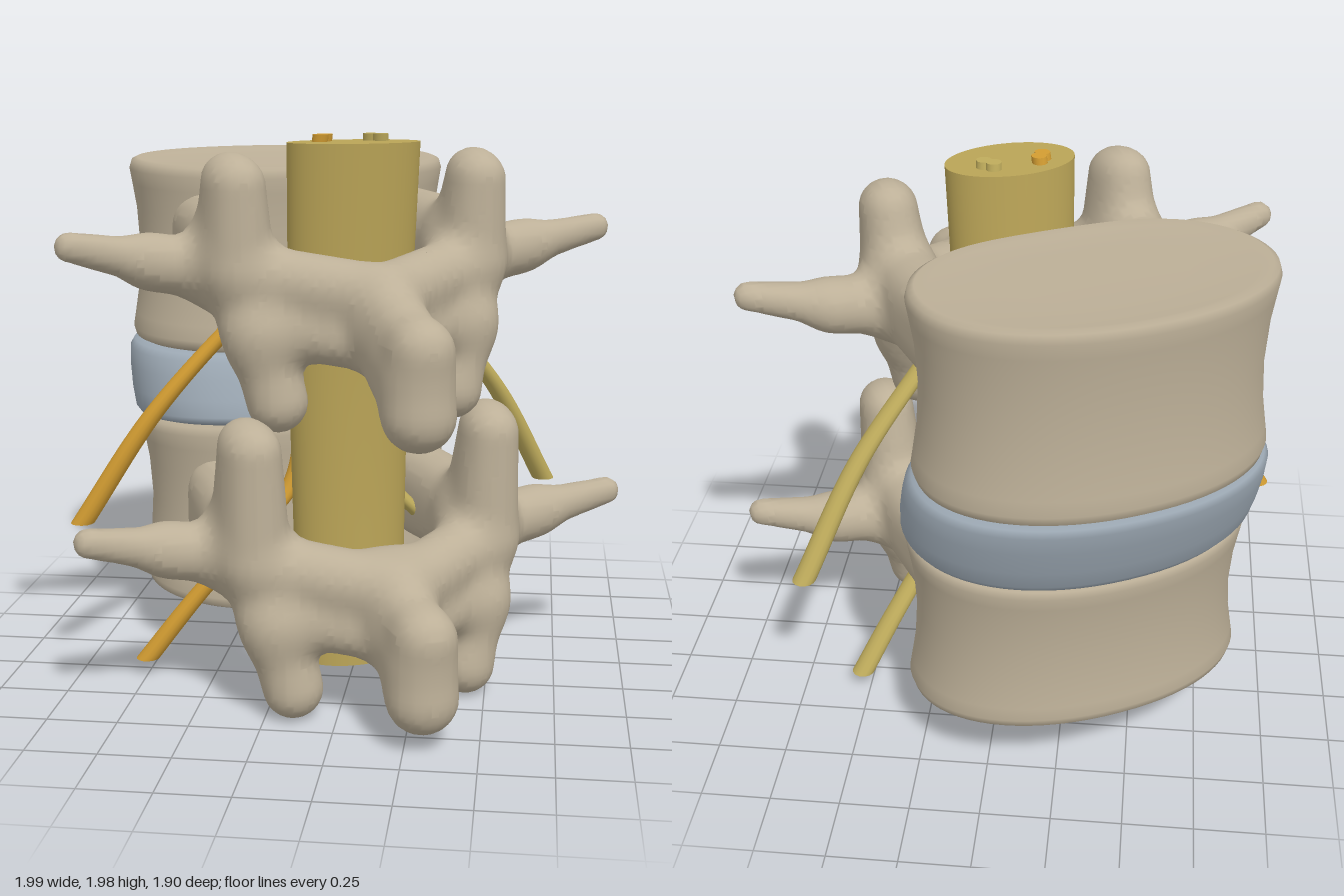
import * as THREE from 'three';

const mat = (name, color) => {
  const m = new THREE.MeshStandardMaterial({ color });
  m.name = name;
  return m;
};
const lerp = THREE.MathUtils.lerp;

function mesh(name, geometry, material) {
  const m = new THREE.Mesh(geometry, material);
  m.name = name;
  return m;
}

function indexed(pos, idx) {
  const g = new THREE.BufferGeometry();
  g.setAttribute('position', new THREE.Float32BufferAttribute(pos, 3));
  g.setIndex(idx);
  g.computeVertexNormals();
  return g;
}

// Skin closed rings, listed from bottom to top; point(ring, angle) gives [x, y, z]
function loft(rings, sides, point) {
  const pos = [], idx = [];
  rings.forEach((r, j) => {
    for (let i = 0; i < sides; i++) {
      pos.push(...point(r, (i / sides) * Math.PI * 2));
      if (j === 0) continue;
      const k = (i + 1) % sides, lo = (j - 1) * sides, hi = j * sides;
      idx.push(lo + i, hi + i, lo + k, lo + k, hi + i, hi + k);
    }
  });
  return indexed(pos, idx);
}

// Capped column of level ellipses [x, y, z, half width, half depth]; doubled end rings keep rims sharp
function column(rings, sides) {
  const first = rings[0], last = rings[rings.length - 1];
  const point = ([x, y, z, a, b], t) => [x + a * Math.cos(t), y, z + b * Math.sin(t)];
  const cap = ([x, y, z]) => [x, y, z, 0, 0];
  return loft([cap(first), first, ...rings, last, cap(last)], sides, point);
}

// Kidney-shaped slab; each end is { back, front, z }: heights at its two edges, and its centre
function slab(rings, bottom, top) {
  const height = (e, s) => lerp(e.front, e.back, (s + 1) / 2);
  const round = (v) => Math.sign(v) * Math.abs(v) ** 0.94;
  return loft(rings, 72, ([scale, f], t) => {
    const s = round(Math.sin(t)) * scale;
    const dent = 0.045 * Math.max(0, Math.sin(t)) ** 6 * scale;
    return [
      0.62 * scale * round(Math.cos(t)),
      lerp(height(bottom, s), height(top, s), f),
      lerp(bottom.z, top.z, f) + 0.44 * s - dent,
    ];
  });
}

// Waisted vertebral body and bulging disc: [scale, height fraction]
const bodyRings = [
  [0, 0.02], [0.5, 0.02], [0.88, 0.015], [0.95, 0], [0.985, 0.015], [1, 0.06], [0.985, 0.14],
  [0.96, 0.28], [0.945, 0.5], [0.96, 0.72], [0.985, 0.86], [1, 0.94], [0.985, 0.985],
  [0.95, 1], [0.88, 0.985], [0.5, 0.98], [0, 0.98],
];
const discRings = [
  [0, 0], [0.8, 0], [0.95, 0], [1, 0.03], [1.03, 0.12], [1.04, 0.35], [1.04, 0.65],
  [1.03, 0.88], [1, 0.97], [0.95, 1], [0.8, 1], [0, 1],
];

// Neural arch of one vertebra as tapered limbs [from, radius, to, radius]; x is mirrored
function archLimbs(lift, pull, raise) {
  const rear = (y, z) => [0, y + raise, z - pull];
  return [
    [[0.4, 1.65, -0.32], 0.12, [0.44, 1.63, 0.12], 0.12],             // pedicle
    [[0.4, 1.52, -0.32], 0.12, [0.44, 1.53, 0.12], 0.12],
    [[0.44, 1.6, 0.14], 0.12, [0.45, 1.85 + lift, 0.2], 0.09],        // upper joint horn
    [[0.43, 1.56, 0.26], 0.12, [0.44, 1.83 + lift, 0.28], 0.095],
    [[0.43, 1.56, 0.18], 0.13, [0.37, 1.32, 0.3], 0.12],              // pillar
    [[0.37, 1.32, 0.3], 0.11, [0.325, 1.1, 0.335], 0.105],            // lower joint horn
    [[0.48, 1.53, 0.11], 0.125, [0.7, 1.57, 0.1], 0.085],             // side wing
    [[0.7, 1.57, 0.1], 0.08, [0.985, 1.635, 0.14], 0.05],
    [[0.38, 1.52, 0.26], 0.115, [0, 1.46, 0.49], 0.115],              // lamina
    [[0.36, 1.36, 0.3], 0.1, [0, 1.31, 0.49], 0.1],
    [rear(1.44, 0.5), 0.11, rear(1.34, 0.84), 0.09],                  // rear spine blade
    [rear(1.3, 0.55), 0.11, rear(1.13, 0.82), 0.105],
    [rear(1.34, 0.84), 0.09, rear(1.13, 0.82), 0.105],
    [rear(1.38, 0.55), 0.1, rear(1.24, 0.8), 0.1],
  ];
}

// Signed distance to the smoothly blended limbs
function blendedField(limbs) {
  const k = 0.07;
  return (x, y, z) => {
    let d = 1e3;
    const ax = Math.abs(x);
    for (const [a, ra, b, rb] of limbs) {
      const vx = b[0] - a[0], vy = b[1] - a[1], vz = b[2] - a[2];
      const px = ax - a[0], py = y - a[1], pz = z - a[2];
      const h = (px * vx + py * vy + pz * vz) / (vx * vx + vy * vy + vz * vz);
      const t = Math.min(1, Math.max(0, h));
      const e = Math.hypot(px - vx * t, py - vy * t, pz - vz * t) - lerp(ra, rb, t);
      const q = Math.max(k - Math.abs(d - e), 0);
      d = Math.min(d, e) - (q * q) / (4 * k);
    }
    return d;
  };
}

// One smooth skin around a field: a vertex per crossed cell, a quad per crossed edge
function skin(field, min, max, step) {
  const n = min.map((m, i) => Math.ceil((max[i] - m) / step) + 1);
  const stride = [1, n[0], n[0] * n[1]];
  const value = new Float32Array(n[0] * n[1] * n[2]);
  const at = (i, j, k) => i + j * stride[1] + k * stride[2];
  for (let k = 0; k < n[2]; k++) for (let j = 0; j < n[1]; j++) for (let i = 0; i < n[0]; i++) {
    value[at(i, j, k)] = field(min[0] + i * step, min[1] + j * step, min[2] + k * step);
  }
  const pos = [], idx = [], cell = new Map();
  const e = 0.002;
  const vertex = (id) => {
    if (cell.has(id)) return cell.get(id);
    const c = [id % n[0], Math.floor(id / n[0]) % n[1], Math.floor(id / stride[2])];
    let [x, y, z] = c.map((v, a) => min[a] + (v + 0.5) * step);
    for (let s = 0; s < 3; s++) {
      const d = field(x, y, z);
      const gx = (field(x + e, y, z) - field(x - e, y, z)) / (2 * e);
      const gy = (field(x, y + e, z) - field(x, y - e, z)) / (2 * e);
      const gz = (field(x, y, z + e) - field(x, y, z - e)) / (2 * e);
      const f = d / Math.max(0.3, gx * gx + gy * gy + gz * gz);
      x -= gx * f; y -= gy * f; z -= gz * f;
    }
    pos.push(x, y, z);
    cell.set(id, pos.length / 3 - 1);
    return pos.length / 3 - 1;
  };
  for (let k = 1; k < n[2] - 1; k++) for (let j = 1; j < n[1] - 1; j++) for (let i = 1; i < n[0] - 1; i++) {
    const id = at(i, j, k), inside = value[id] < 0;
    for (let a = 0; a < 3; a++) {
      if (inside === value[id + stride[a]] < 0) continue;
      const b = stride[(a + 1) % 3], c = stride[(a + 2) % 3];
      const [p, q, r, s] = [id - b - c, id - c, id, id - b].map(vertex);
      if (inside) idx.push(p, q, r, p, r, s);
      else idx.push(p, r, q, p, s, r);
    }
  }
  return indexed(pos, idx);
}

// Nerve from its level-cut outer end up to its thin root
function nerve(points, side) {
  const curve = new THREE.CatmullRomCurve3(points.map(([x, y, z]) => new THREE.Vector3(side * x, y, z)));
  const rings = curve.getPoints(60).map((p, i) => {
    const r = lerp(0.043, 0.028, i / 60);
    return [p.x, p.y, p.z, r, r];
  });
  return column(rings, 14);
}

export function createModel() {
  const bone = mat('bone', 0xbdb098);
  const discGrey = mat('disc grey', 0x9ca8b3);
  const paleGrey = mat('disc core', 0xc3ced6);
  const cordYellow = mat('cord yellow', 0xbaa457);
  const orange = mat('nerve orange', 0xd39d32);
  const yellow = mat('nerve yellow', 0xbfac5c);

  const spine = new THREE.Group();
  spine.name = 'spine';
  spine.rotation.y = 0.4625;
  spine.position.set(-0.08, 0, 0.04);

  // Vertebral bodies and the disc between them
  const upperTop = { back: 1.86, front: 1.9, z: -0.56 };
  const upperBottom = { back: 1.17, front: 1.205, z: -0.56 };
  const lowerTop = { back: 0.92, front: 0.885, z: -0.46 };
  const lowerBottom = { back: 0.19, front: 0.29, z: -0.45 };
  spine.add(mesh('upperBody', slab(bodyRings, upperBottom, upperTop), bone));
  spine.add(mesh('lowerBody', slab(bodyRings, lowerBottom, lowerTop), bone));
  spine.add(mesh('disc', slab(discRings, lowerTop, upperBottom), discGrey));
  const core = mesh('discBulge', new THREE.SphereGeometry(1, 20, 14), paleGrey);
  core.scale.set(0.07, 0.05, 0.05);
  core.position.set(-0.16, 1.06, -0.12);
  spine.add(core);

  // Neural arches
  const min = [-1.12, 0.9, -0.64], max = [1.12, 2.12, 1.04];
  spine.add(mesh('upperArch', skin(blendedField(archLimbs(0, 0, 0)), min, max, 0.026), bone));
  const lowerArch = mesh('lowerArch', skin(blendedField(archLimbs(0.1, 0.1, 0.04)), min, max, 0.026), bone);
  lowerArch.position.set(0, -0.985, 0.15);
  spine.add(lowerArch);

  // Spinal cord
  spine.add(mesh('spinalCord', column([
    [0, 0.09, 0.17, 0.2, 0.145], [0, 0.6, 0.155, 0.21, 0.15], [0, 1.1, 0.15, 0.22, 0.155],
    [0, 1.5, 0.175, 0.23, 0.155], [0, 1.97, 0.208, 0.24, 0.155],
  ], 48), cordYellow));

  // Nerve roots run down the cord and leave below each pedicle
  for (const [side, name, colour] of [[-1, 'right', orange], [1, 'left', yellow]]) {
    spine.add(mesh(name + 'UpperNerve', nerve([
      [0.93, 0.6, -0.125], [0.68, 1.0, -0.04], [0.41, 1.31, 0.02],
      [0.24, 1.48, 0.07], [0.14, 1.7, 0.12], [0.11, 1.995, 0.175],
    ], side), colour));
    spine.add(mesh(name + 'LowerNerve', nerve([
      [0.715, 0.07, -0.07], [0.56, 0.28, -0.02], [0.38, 0.5, 0.03], [0.18, 0.72, 0.03],
      [0.13, 0.95, 0.02], [0.12, 1.5, 0.06], [0.085, 1.995, 0.145],
    ], side), colour));
  }

  const model = new THREE.Group();
  model.name = 'spineSegment';
  model.add(spine);
  return model;
}
